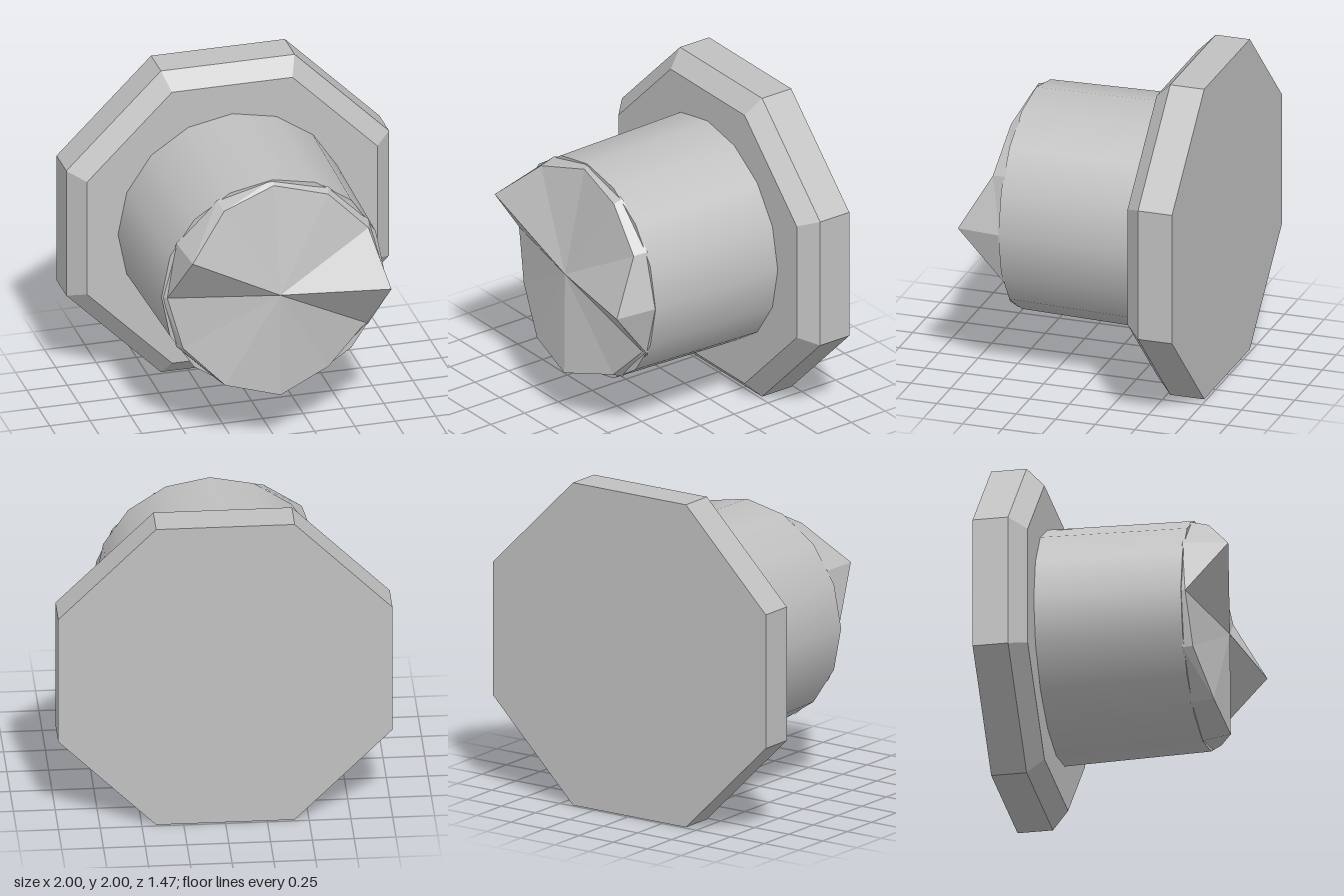
import * as THREE from 'three';

export function createModel() {
  const model = new THREE.Group();
  const grey = new THREE.MeshStandardMaterial({ color: 0xc0c0c0 });
  grey.name = 'grey';
  const body = new THREE.Group();
  body.position.y = 1;
  model.add(body);

  const add = (name, geometry) => {
    const mesh = new THREE.Mesh(geometry, grey);
    mesh.name = name;
    body.add(mesh);
  };

  // prism or frustum along z, from zBack to zFront
  const frustum = (rFront, rBack, zBack, zFront, sides, turn, flat) => {
    let g = new THREE.CylinderGeometry(rFront, rBack, zFront - zBack, sides, 1, false, turn);
    g.rotateX(Math.PI / 2).translate(0, 0, (zBack + zFront) / 2);
    if (flat) {
      g = g.toNonIndexed();
      g.computeVertexNormals();
    }
    return g;
  };

  // octagonal head with a chamfered front edge
  const k = 1 / Math.cos(Math.PI / 8);
  add('octagonalHead', frustum(k, k, -0.735, -0.52, 8, Math.PI / 8, true));
  add('headChamfer', frustum(0.9 * k, k, -0.52, -0.42, 8, Math.PI / 8, true));

  // smooth, slightly tapered shaft
  add('shaft', frustum(0.69, 0.708, -0.42, 0.47, 16, 0, false));

  // twelve-sided tip: rim height at every 30 degrees, starting from +x
  const rimZ = [0.735, 0.545, 0.515, 0.49, 0.57, 0.735, 0.49, 0.52, 0.6, 0.64, 0.52, 0.48];
  const ring = (radius, zAt) => rimZ.map((z, i) => {
    const a = i * Math.PI / 6;
    return [radius * Math.cos(a), radius * Math.sin(a), zAt(z)];
  });
  const rim = ring(0.66, z => z);
  const base = ring(0.688, () => 0.46);
  const centre = [0, 0, 0.635];
  const points = [];
  for (let i = 0; i < 12; i++) {
    const j = (i + 1) % 12;
    points.push(...centre, ...rim[i], ...rim[j]);
    points.push(...base[i], ...base[j], ...rim[j], ...base[i], ...rim[j], ...rim[i]);
  }
  const tip = new THREE.BufferGeometry();
  tip.setAttribute('position', new THREE.Float32BufferAttribute(points, 3));
  tip.computeVertexNormals();
  add('facetedTip', tip);

  return model;
}
